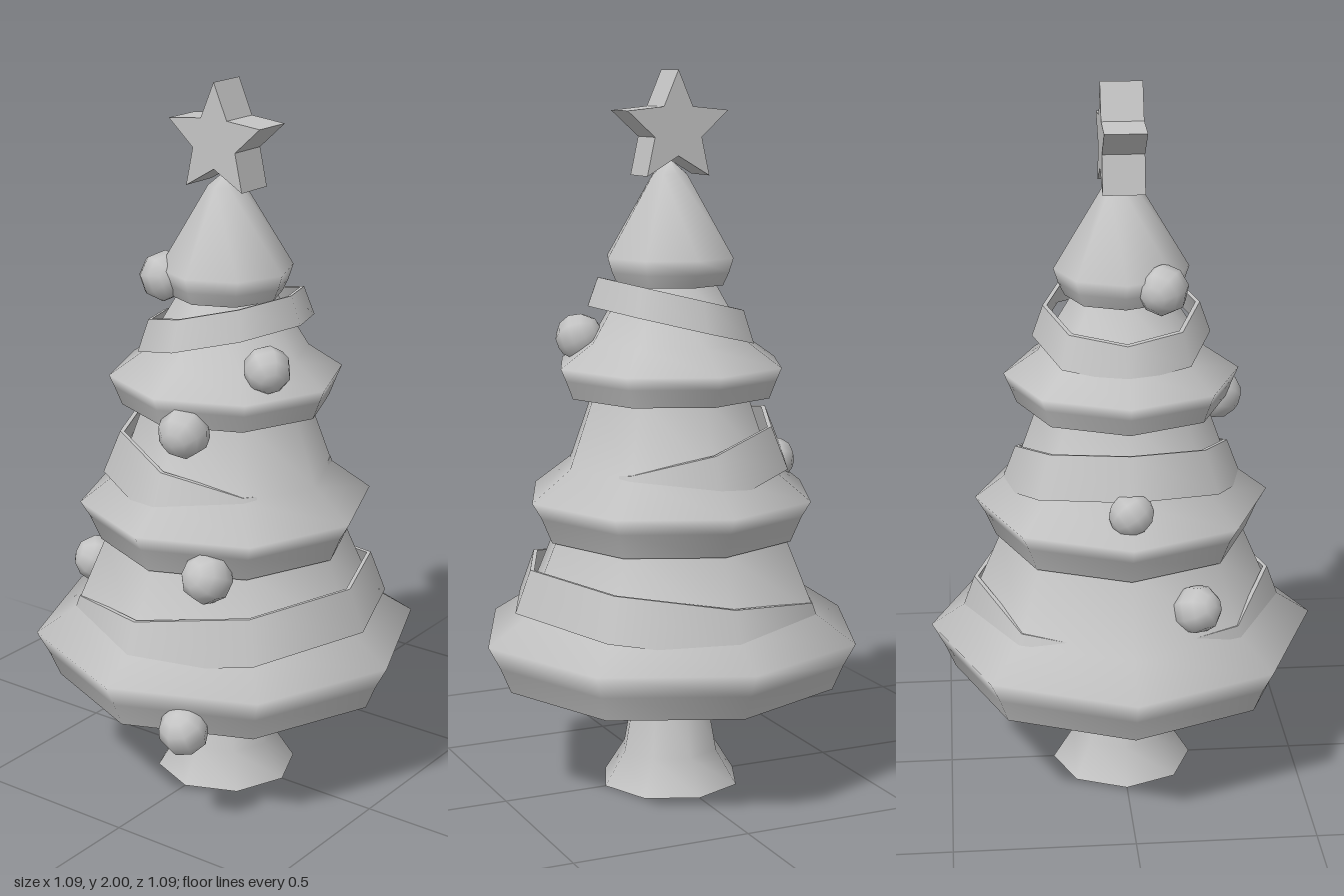
import * as THREE from 'three';

const grey = new THREE.MeshStandardMaterial({ color: 0xc4c4c4 });
grey.name = 'plain grey';
const SIDES = 8;

function part(name, geometry, parent) {
  const mesh = new THREE.Mesh(geometry, grey);
  mesh.name = name;
  parent.add(mesh);
  return mesh;
}

const lathe = (points) =>
  new THREE.LatheGeometry(points.map(([r, y]) => new THREE.Vector2(r, y)), SIDES);

// Eight-sided turned body with a flat underside; profile runs bottom to top
function turned(name, profile, parent) {
  const group = new THREE.Group();
  group.name = name;
  part(name + 'Side', lathe(profile), group);
  const base = part(name + 'Underside', new THREE.CircleGeometry(profile[0][0], SIDES), group);
  base.rotation.x = Math.PI / 2;
  base.position.y = profile[0][1];
  parent.add(group);
}

// Thin flared band, tilted by raising y along x
function garland(name, [rLow, yLow], [rTop, yTop], slope, parent) {
  const group = new THREE.Group();
  group.name = name;
  const t = 0.012;
  const corners = [[rLow, yLow], [rTop, yTop], [rTop - t, yTop], [rLow - t, yLow]];
  corners.forEach((corner, i) => {
    const geometry = lathe([corner, corners[(i + 1) % 4]]);
    const pos = geometry.attributes.position;
    for (let k = 0; k < pos.count; k++) pos.setY(k, pos.getY(k) + slope * pos.getX(k));
    part(name + 'Face' + i, geometry, group);
  });
  parent.add(group);
}

export function createModel() {
  const tree = new THREE.Group();
  tree.name = 'decoratedTree';

  // Trunk with flared foot
  turned('trunk', [[0.2, 0], [0.14, 0.095], [0.1, 0.31]], tree);

  // Foliage tiers
  const tiers = [
    [[0.48, 0.31], [0.51, 0.38], [0.545, 0.445], [0.43, 0.52], [0.34, 0.73]],
    [[0.355, 0.72], [0.385, 0.79], [0.412, 0.835], [0.3, 0.92], [0.225, 1.13]],
    [[0.29, 1.115], [0.31, 1.165], [0.325, 1.2], [0.23, 1.265], [0.13, 1.43]],
    [[0.155, 1.42], [0.172, 1.455], [0.185, 1.495], [0.05, 1.72], [0, 1.76]],
  ];
  tiers.forEach((profile, i) => turned('foliageTier' + (i + 1), profile, tree));

  // Garlands, tilted alternately
  garland('lowerGarland', [0.465, 0.468], [0.42, 0.592], 0.14, tree);
  garland('middleGarland', [0.345, 0.86], [0.297, 0.985], -0.25, tree);
  garland('upperGarland', [0.245, 1.307], [0.215, 1.392], 0.25, tree);

  // Baubles: x, y, z, radius
  const baubles = [
    [0.175, 0.325, 0.43, 0.07],
    [0.165, 0.725, 0.31, 0.072],
    [0.06, 1.105, 0.27, 0.072],
    [0.222, 1.27, 0.12, 0.066],
    [-0.135, 1.468, 0.1, 0.07],
    [-0.325, 0.905, 0.0, 0.062],
    [-0.325, 0.62, 0.18, 0.068],
  ];
  baubles.forEach(([x, y, z, r], i) => {
    const ball = part('bauble' + (i + 1), new THREE.SphereGeometry(r, 8, 6), tree);
    ball.position.set(x, y, z);
    ball.rotation.set(0.5 + i * 0.4, i * 0.9, 0.3 * i);
  });

  // Five-pointed star on top
  const outline = new THREE.Shape();
  for (let i = 0; i < 10; i++) {
    const a = Math.PI / 2 + (i * Math.PI) / 5;
    const r = i % 2 ? 0.073 : 0.157;
    outline[i ? 'lineTo' : 'moveTo'](r * Math.cos(a), r * Math.sin(a));
  }
  outline.closePath();
  const star = part('topStar',
    new THREE.ExtrudeGeometry(outline, { depth: 0.114, bevelEnabled: false }), tree);
  star.position.set(0, 1.843, -0.057);

  return tree;
}
